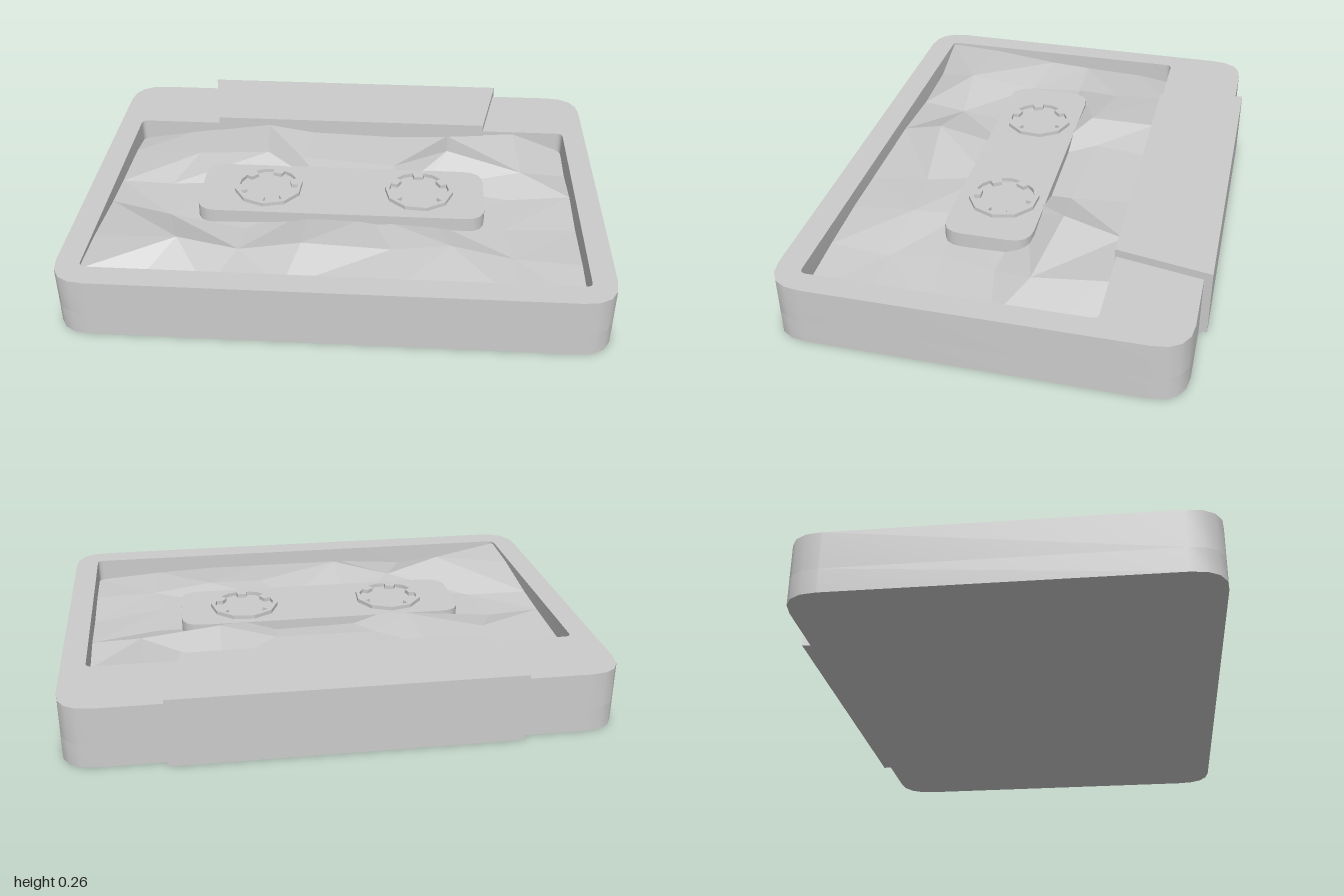
import * as THREE from 'three';
import { toCreasedNormals } from 'three/addons/utils/BufferGeometryUtils.js';

const grey = new THREE.MeshStandardMaterial({ color: 0xcccccc });
const facetGrey = new THREE.MeshStandardMaterial({ color: 0xcccccc, flatShading: true, side: THREE.DoubleSide });

// Rounded rectangle in plan; shape y is -z of the model.
function roundedRect(x0, x1, z0, z1, r, Type = THREE.Shape) {
  const s = new Type();
  const a = -z1, b = -z0;
  s.moveTo(x0 + r, a).lineTo(x1 - r, a).quadraticCurveTo(x1, a, x1, a + r);
  s.lineTo(x1, b - r).quadraticCurveTo(x1, b, x1 - r, b);
  s.lineTo(x0 + r, b).quadraticCurveTo(x0, b, x0, b - r);
  s.lineTo(x0, a + r).quadraticCurveTo(x0, a, x0 + r, a);
  return s;
}

// Raise a plan shape between two heights.
function slab(name, shape, y0, y1, curveSegments = 4) {
  const geo = new THREE.ExtrudeGeometry(shape, { depth: y1 - y0, bevelEnabled: false, curveSegments });
  geo.rotateX(-Math.PI / 2).translate(0, y0, 0);
  const mesh = new THREE.Mesh(toCreasedNormals(geo, 0.6), grey);
  mesh.name = name;
  return mesh;
}

// Crumpled faceted surface inside the recess, heights in hundredths, back row first.
function crumpledPanel() {
  const heights = [
    [14, 18, 23, 20, 19, 20, 22, 14],
    [16, 20, 25, 20, 19, 26, 20, 13],
    [17, 16, 18, 18, 17, 18, 16, 15],
    [18, 16, 17, 18, 18, 17, 16, 14],
    [21, 24, 18, 24, 19, 20, 16, 15],
    [22, 16, 15, 17, 17, 17, 16, 14],
  ];
  const rows = heights.length, cols = heights[0].length;
  let seed = 7;
  const jitter = () => ((seed = (seed * 16807) % 2147483647) / 2147483647 - 0.5) * 0.16;
  const pos = [], index = [];
  for (let j = 0; j < rows; j++) {
    for (let i = 0; i < cols; i++) {
      const dx = jitter(), dz = jitter();
      const edgeX = i === 0 || i === cols - 1, edgeZ = j === 0 || j === rows - 1;
      pos.push(
        -0.91 + (1.82 * i) / (cols - 1) + (edgeX ? 0 : dx),
        heights[j][i] / 100,
        -0.4 + (1.05 * j) / (rows - 1) + (edgeZ ? 0 : dz)
      );
      if (edgeX && i || j === rows - 1) continue;
      const a = j * cols + i, b = a + 1, c = a + cols, d = c + 1;
      if ((i * 3 + j * 5) % 4 < 2) index.push(a, c, b, b, c, d);
      else index.push(a, c, d, a, d, b);
    }
  }
  const geo = new THREE.BufferGeometry();
  geo.setAttribute('position', new THREE.Float32BufferAttribute(pos, 3));
  geo.setIndex(index);
  geo.computeVertexNormals();
  const mesh = new THREE.Mesh(geo, facetGrey);
  mesh.name = 'crumpledPanel';
  return mesh;
}

// Reel ring: ten-sided outside, six square teeth pointing inward.
function reel(name, x, z, turn) {
  const shape = new THREE.Shape();
  const polar = (r, a) => new THREE.Vector2(r * Math.cos(a), r * Math.sin(a));
  shape.setFromPoints(Array.from({ length: 10 }, (_, i) => polar(0.135, (i * Math.PI) / 5)));
  const inner = [];
  for (let i = 0; i < 6; i++) {
    const a = (i * Math.PI) / 3;
    inner.push(polar(0.115, a - 0.2), polar(0.09, a - 0.2), polar(0.09, a + 0.2), polar(0.115, a + 0.2));
    inner.push(polar(0.117, a + Math.PI / 6));
  }
  shape.holes.push(new THREE.Path(inner));
  const mesh = slab(name, shape, 0.2, 0.237);
  mesh.position.set(x, 0, z);
  mesh.rotation.y = turn;
  return mesh;
}

export function createModel() {
  const group = new THREE.Group();
  group.name = 'cassette';

  // Case: solid base with a raised frame around the recess
  const outline = () => roundedRect(-1, 1, -0.715, 0.745, 0.13);
  const frame = outline();
  frame.holes.push(roundedRect(-0.91, 0.91, -0.4, 0.65, 0.025, THREE.Path));
  group.add(slab('caseBase', outline(), 0, 0.09));
  group.add(slab('caseFrame', frame, 0.09, 0.23));

  // Thicker tapering block along the back edge
  const block = new THREE.Shape([
    new THREE.Vector2(-0.57, 0.395), new THREE.Vector2(0.57, 0.395),
    new THREE.Vector2(0.635, 0.745), new THREE.Vector2(-0.635, 0.745),
  ]);
  group.add(slab('backBlock', block, 0, 0.26));

  // Recess contents
  group.add(crumpledPanel());
  group.add(slab('reelPlate', roundedRect(-0.56, 0.555, -0.08, 0.255, 0.08), 0.1, 0.222));
  group.add(reel('rightReel', -0.295, 0.085, 0.25));
  group.add(reel('leftReel', 0.3, 0.08, 0.55));

  return group;
}
